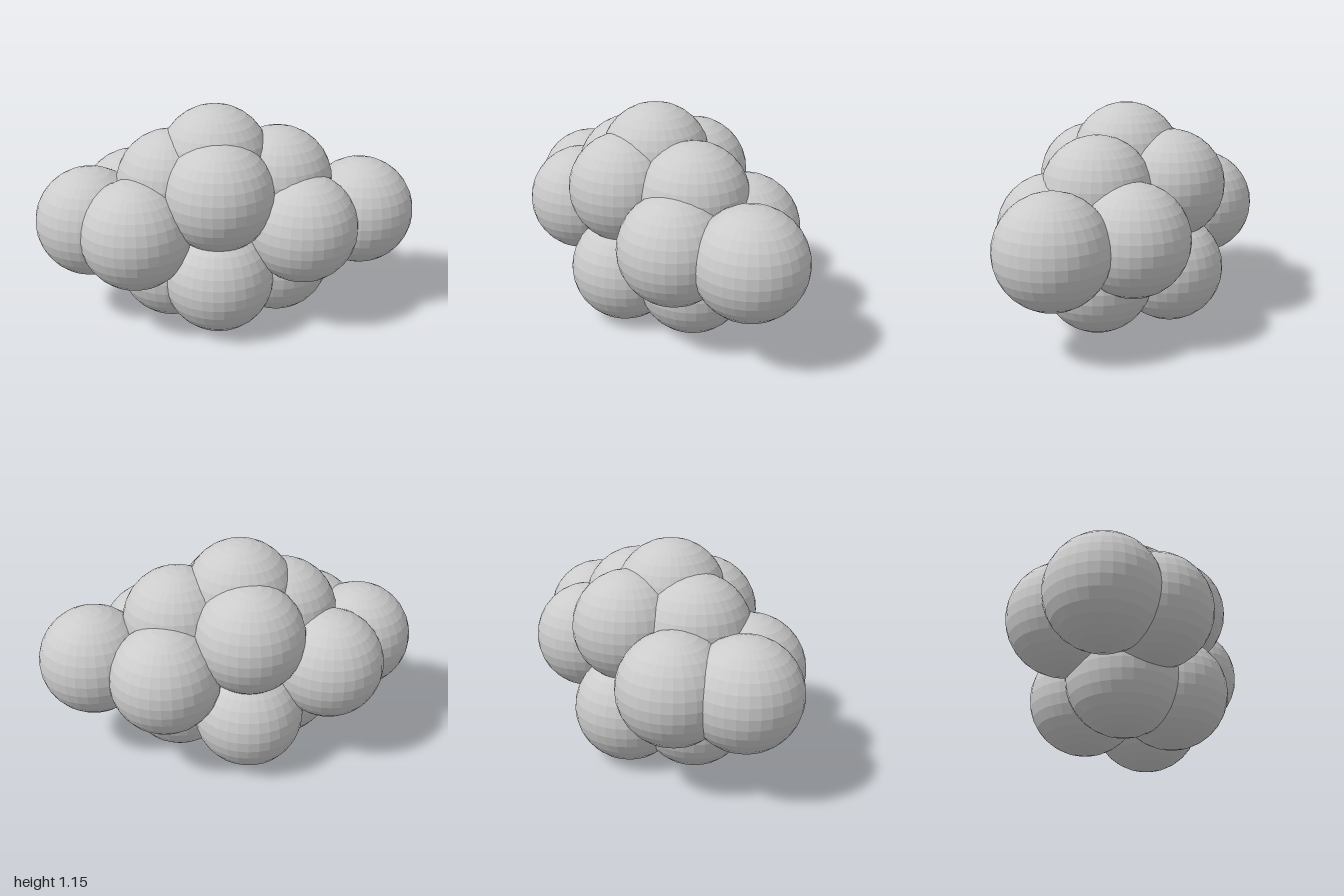
import * as THREE from 'three';

const RADIUS = 0.286;

export function createModel() {
  const model = new THREE.Group();
  model.name = 'sphereCluster';

  const material = new THREE.MeshStandardMaterial({ color: 0xcccccc, flatShading: true });
  const ball = new THREE.SphereGeometry(RADIUS, 32, 16);

  // Each layer: height and the [x, z] centres of its spheres
  const front = 0.226, back = -0.226, mid = 0.028;
  const ring = [[-0.062, front], [-0.062, back], [-0.29, mid], [0.267, mid]];
  const layers = [
    { name: 'bottomLayer', y: 0.288, centres: ring },
    {
      name: 'middleLayer', y: 0.549,
      centres: [
        [-0.713, mid], [0.713, mid],
        [-0.484, front], [-0.484, back],
        [0.371, front], [0.371, back],
      ],
    },
    { name: 'upperLayer', y: 0.741, centres: ring },
    { name: 'topSphere', y: 0.866, centres: [[-0.062, mid]] },
  ];

  for (const { name, y, centres } of layers) {
    const layer = new THREE.Group();
    layer.name = name;
    layer.position.y = y;
    for (const [x, z] of centres) {
      const sphere = new THREE.Mesh(ball, material);
      sphere.name = 'sphere';
      sphere.position.set(x, 0, z);
      layer.add(sphere);
    }
    model.add(layer);
  }
  return model;
}
